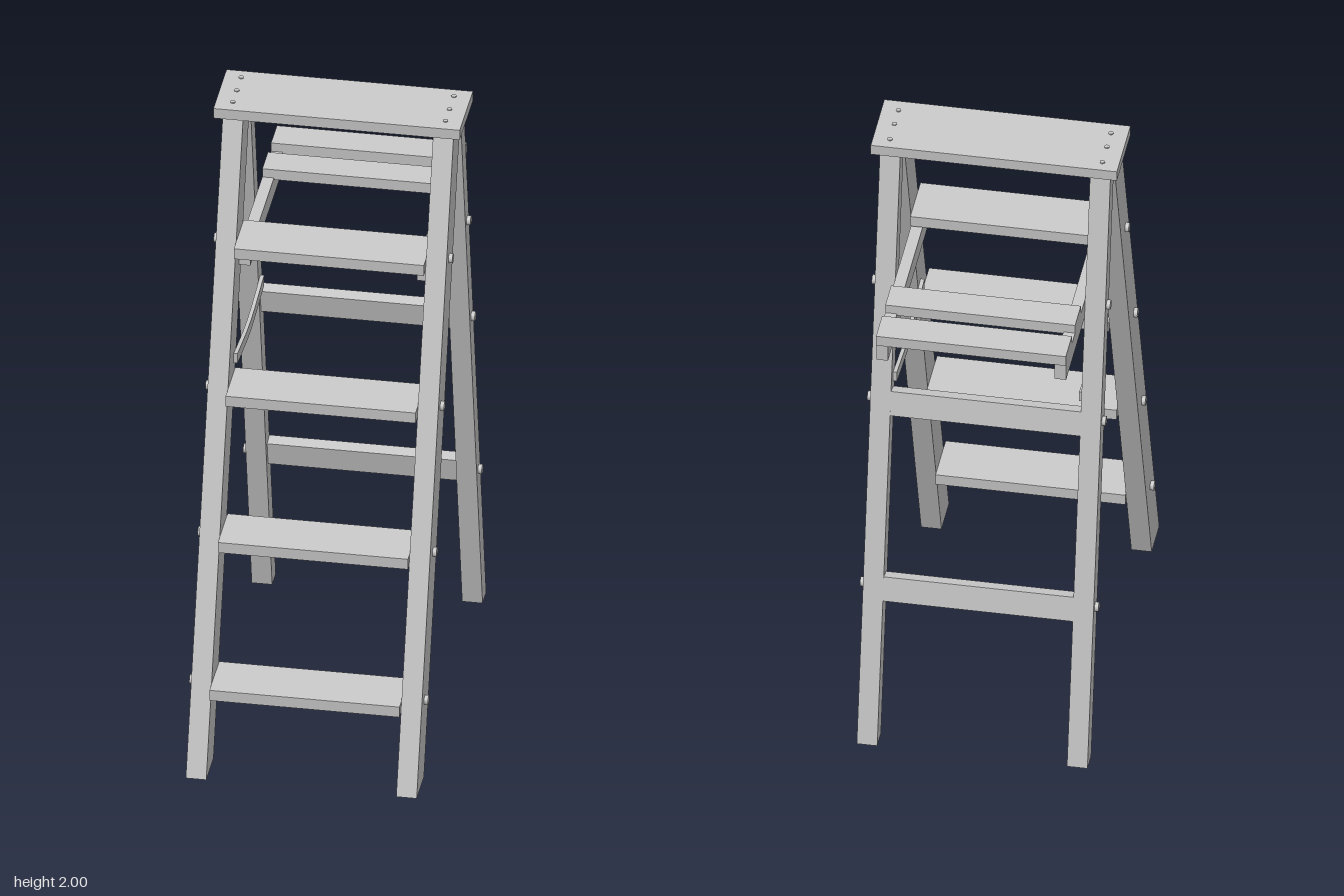
import * as THREE from 'three';

const mat = new THREE.MeshStandardMaterial({ color: 0xcccccc, side: THREE.DoubleSide });

export function createModel() {
  const model = new THREE.Group();

  const add = (name, geo, x = 0, y = 0, z = 0) => {
    const m = new THREE.Mesh(geo, mat);
    m.name = name;
    m.position.set(x, y, z);
    model.add(m);
    return m;
  };
  // Box given by its limits; x is symmetric
  const board = (name, halfX, y0, y1, z0, z1) =>
    add(name, new THREE.BoxGeometry(2 * halfX, y1 - y0, z1 - z0), 0, (y0 + y1) / 2, (z0 + z1) / 2);
  // Side outline of [z, y] points, given thickness in x and centred on x
  const profile = (name, pts, x, width) => {
    const shape = new THREE.Shape(pts.map(([z, y]) => new THREE.Vector2(z, y)));
    const geo = new THREE.ExtrudeGeometry(shape, { depth: width, bevelEnabled: false });
    geo.translate(0, 0, -width / 2).rotateY(-Math.PI / 2);
    return add(name, geo, x);
  };
  const bolt = (name, side, y, z, r, len) => {
    const geo = new THREE.CylinderGeometry(r, r, len, 16).rotateZ(Math.PI / 2);
    add(name, geo, side * (0.356 + len / 2 - 0.005), y, z);
  };

  const inner = 0.293, legW = 0.063, legX = inner + legW / 2;

  // Top board
  board('topBoard', 0.38, 1.963, 1.997, -0.235, 0);

  // Treads: [centre height, centre z]
  const treads = [[0.265, 0.485], [0.7, 0.335], [1.137, 0.198], [1.572, 0.05]];
  for (const [y, z] of treads) board('tread', inner, y - 0.018, y + 0.018, z - 0.087, z + 0.087);

  // Rear rails, lying flush with the back of the sloped rear legs
  const rearBack = y => -0.61 + 0.204 * y;
  const rails = [0.517, 1.13];
  for (const y of rails) {
    const p = (dy, dz) => [rearBack(y) + dz + dy * 0.204, y + dy - dz * 0.2];
    profile('rearRail', [p(-0.038, 0), p(-0.038, 0.04), p(0.042, 0.04), p(0.042, 0)], 0, 2 * inner);
  }

  // Shelf slats
  board('shelfSlat', inner, 1.54, 1.575, -0.47, -0.37);
  board('shelfSlat', inner, 1.54, 1.575, -0.63, -0.525);

  for (const s of [1, -1]) {
    // Legs
    profile('frontLeg', [[0.63, 0], [0.5, 0], [-0.152, 1.963], [-0.03, 1.963]], s * legX, legW);
    profile('rearLeg', [[-0.545, 0], [-0.61, 0], [-0.21, 1.963], [-0.15, 1.963]], s * legX, legW);

    // Hinge block joining the leg tops
    profile('hingeBlock', [[-0.03, 1.92], [-0.21, 1.92], [-0.205, 1.963], [-0.045, 1.963]], s * legX, legW - 0.004);
    for (const z of [-0.06, -0.12, -0.185]) bolt('hingeScrew', s, 1.942, z, 0.009, 0.014);

    // Screws through the top board
    for (const z of [-0.047, -0.117, -0.195])
      add('topScrew', new THREE.CylinderGeometry(0.008, 0.008, 0.01, 12), s * 0.328, 1.995, z);

    // Shelf arm
    board('shelfArm', 0.018, 1.483, 1.546, -0.625, 0.05).position.x = s * 0.275;

    // Dipped spreader bar between front and rear legs
    profile('spreader', [
      [0.14, 1.222], [0.1, 1.217], [-0.02, 1.203], [-0.1, 1.199], [-0.18, 1.203], [-0.3, 1.217], [-0.335, 1.22],
      [-0.335, 1.186], [-0.3, 1.181], [-0.18, 1.168], [-0.1, 1.163], [-0.02, 1.168], [0.1, 1.182], [0.14, 1.188],
    ], s * 0.287, 0.012);

    // Bolts on the outside of the legs
    for (const [y, z] of treads) bolt('treadBolt', s, y, z, 0.015, 0.017);
    for (const [y, z] of [[0.517, -0.475], [1.132, -0.35], [1.517, -0.272]]) bolt('rearBolt', s, y, z, 0.015, 0.017);
  }

  return model;
}
